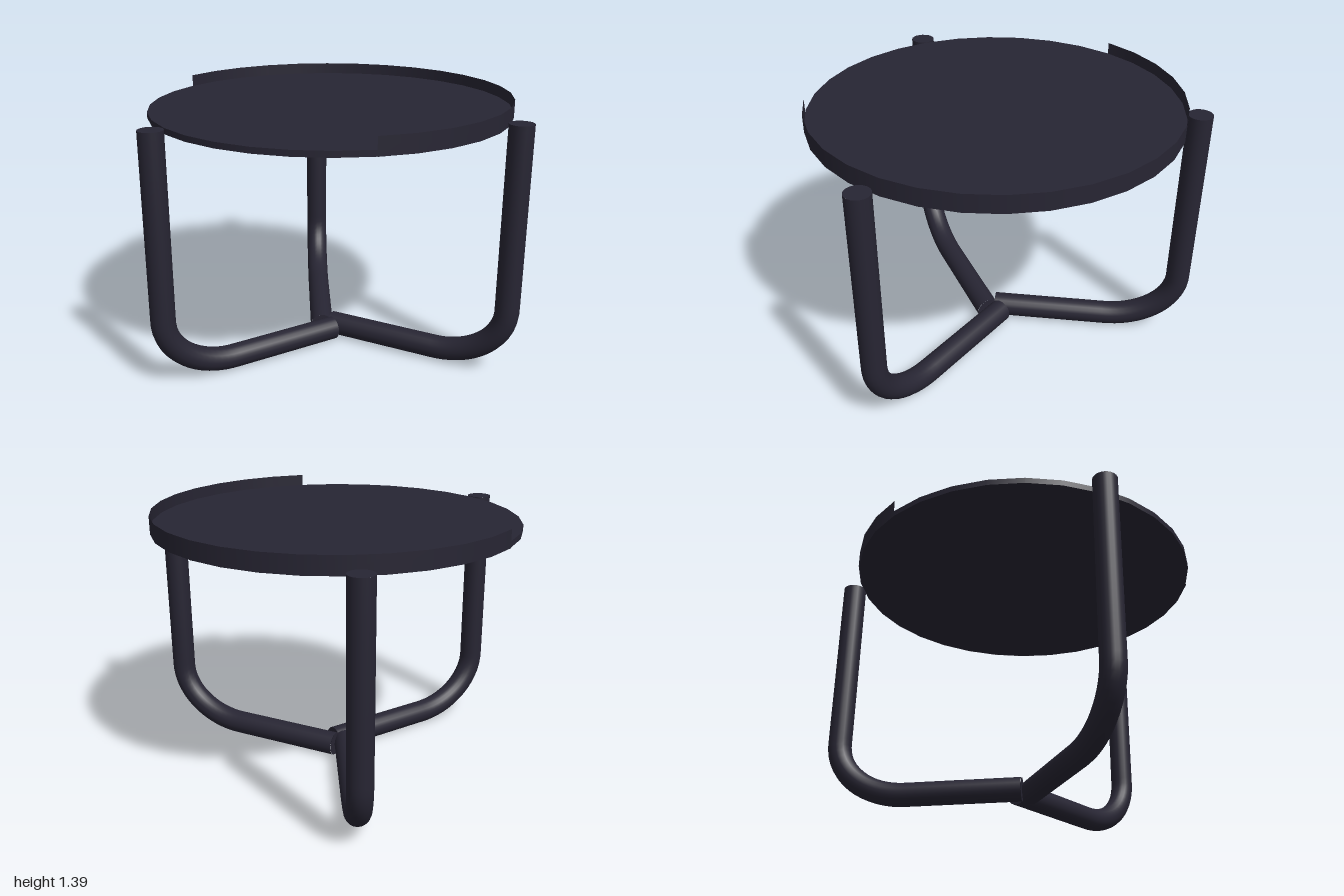
import * as THREE from 'three';

const HUB_X = 0.06;        // centre of the round top and of the three legs
const TOP_R = 0.935;
const TUBE_R = 0.0625;
const LEG_TOP = 1.33;

const material = new THREE.MeshStandardMaterial({ color: 0x272533 });
const thinMaterial = new THREE.MeshStandardMaterial({ color: 0x272533, side: THREE.DoubleSide });

function addMesh(parent, name, geometry, mat = material) {
  const mesh = new THREE.Mesh(geometry, mat);
  mesh.name = name;
  parent.add(mesh);
  return mesh;
}

// Point on a leg at radius r and height y; the foot veers slightly sideways towards the hub
const legPoint = (r, y) => new THREE.Vector3(r, y, -0.04 * (1 - r));

// One bent tube: along the floor from the hub, round a bend, then straight up
function createLeg() {
  const leg = new THREE.Group();
  const bendR = 0.62, bendY = 0.36, k = 0.55;
  const path = new THREE.CurvePath();
  path.add(new THREE.LineCurve3(legPoint(0, TUBE_R), legPoint(bendR, TUBE_R)));
  path.add(new THREE.CubicBezierCurve3(
    legPoint(bendR, TUBE_R),
    legPoint(bendR + (1 - bendR) * k, TUBE_R),
    legPoint(1, bendY - (bendY - TUBE_R) * k),
    legPoint(1, bendY)
  ));
  path.add(new THREE.LineCurve3(legPoint(1, bendY), legPoint(1, LEG_TOP)));
  addMesh(leg, 'legTube', new THREE.TubeGeometry(path, 56, TUBE_R, 20, false));

  // End caps
  const topCap = addMesh(leg, 'legTopCap', new THREE.CircleGeometry(TUBE_R, 20));
  topCap.rotation.x = -Math.PI / 2;
  topCap.position.copy(legPoint(1, LEG_TOP));
  const hubCap = addMesh(leg, 'legHubCap', new THREE.CircleGeometry(TUBE_R, 20));
  hubCap.rotation.y = -Math.PI / 2;
  hubCap.position.copy(legPoint(0, TUBE_R));
  return leg;
}

export function createModel() {
  const table = new THREE.Group();
  table.name = 'sideTable';

  // Round table top
  const top = addMesh(table, 'tableTop', new THREE.CylinderGeometry(TOP_R - 0.003, TOP_R - 0.003, 0.03, 32));
  top.position.set(HUB_X, 1.315, 0);

  // Thin raised rim, open on the -x side
  const arc = THREE.MathUtils.degToRad(225);
  const rim = addMesh(table, 'rim',
    new THREE.CylinderGeometry(TOP_R, TOP_R, 0.09, 20, 1, true, Math.PI / 2 - arc / 2, arc), thinMaterial);
  rim.position.set(HUB_X, 1.345, 0);

  // Three legs spread evenly around the hub
  for (let i = 0; i < 3; i++) {
    const leg = createLeg();
    leg.name = `leg${i + 1}`;
    leg.position.x = HUB_X;
    leg.rotation.y = Math.PI + (i * 2 * Math.PI) / 3;
    table.add(leg);
  }
  return table;
}
